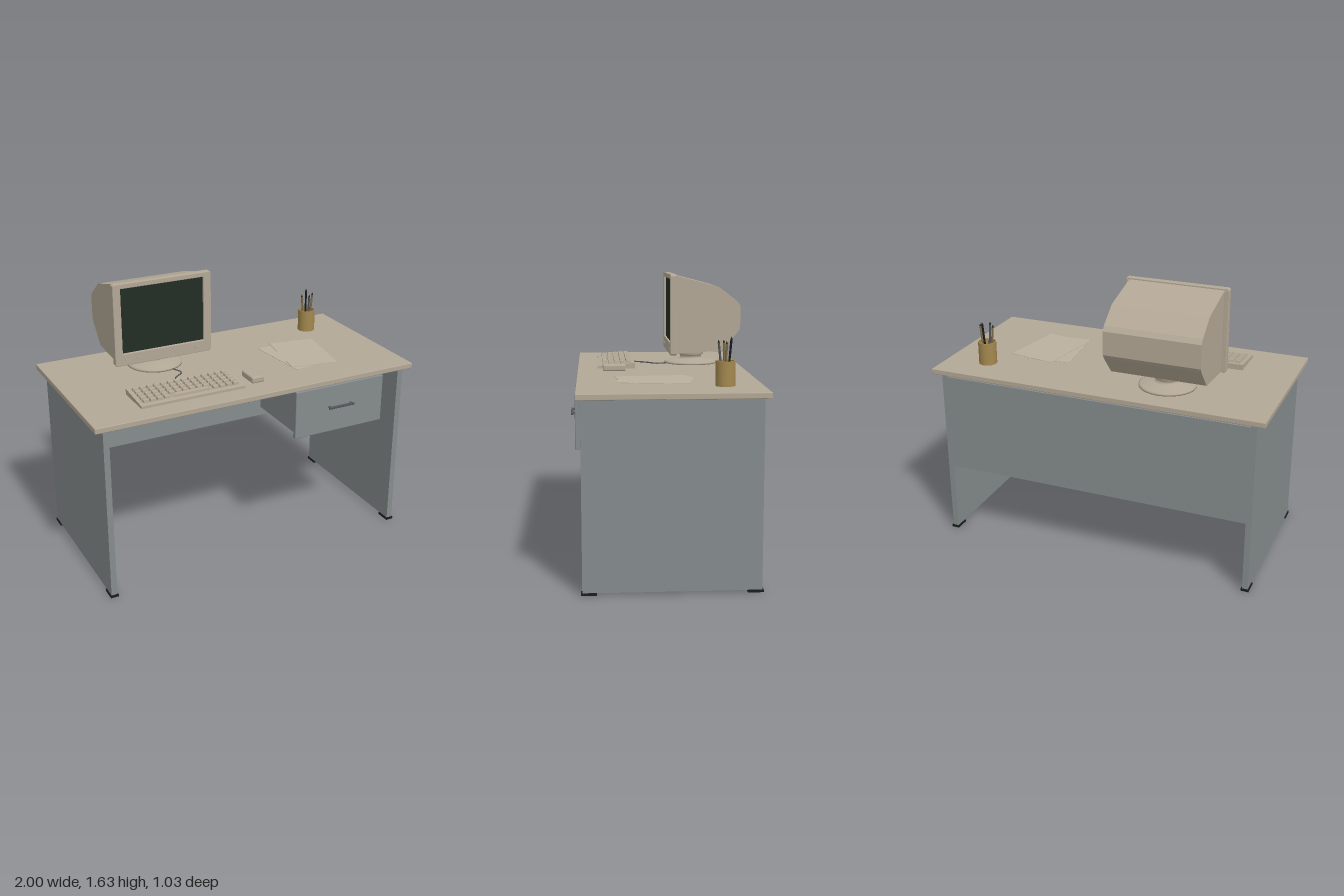
import * as THREE from 'three';
import { RoundedBoxGeometry } from 'three/addons/geometries/RoundedBoxGeometry.js';

const mat = (name, color, extra = {}) => Object.assign(new THREE.MeshStandardMaterial({ color, ...extra }), { name });

export function createModel() {
  const root = new THREE.Group();
  root.name = 'officeDesk';

  const beige = mat('beige', 0xb3a896);
  const steel = mat('steelGrey', 0x858b8d);
  const black = mat('black', 0x1c1c1c);
  const glass = mat('darkGreenGlass', 0x222e24);
  const ochre = mat('ochre', 0xa4884f, { side: THREE.DoubleSide });
  const wood = mat('pencilWood', 0x7d6a48);
  const darkGrey = mat('darkGrey', 0x55565a);
  const paper = mat('paper', 0xbab09f);

  const add = (name, geo, material, parent = root) => {
    const m = new THREE.Mesh(geo, material);
    m.name = name;
    parent.add(m);
    return m;
  };
  // Box given by its limits on each axis; r rounds the edges
  const box = (name, material, [x0, x1], [y0, y1], [z0, z1], r = 0, parent = root) => {
    const s = [x1 - x0, y1 - y0, z1 - z0];
    const geo = r ? new RoundedBoxGeometry(...s, 2, r) : new THREE.BoxGeometry(...s);
    const m = add(name, geo, material, parent);
    m.position.set((x0 + x1) / 2, (y0 + y1) / 2, (z0 + z1) / 2);
    return m;
  };
  // Side profile of [z, y] points pulled along x
  const profile = (name, material, points, x0, x1, parent = root) => {
    const shape = new THREE.Shape(points.map(([z, y]) => new THREE.Vector2(-z, y)));
    const geo = new THREE.ExtrudeGeometry(shape, { depth: x1 - x0, bevelEnabled: false });
    geo.rotateY(Math.PI / 2).translate(x0, 0, 0);
    return add(name, geo, material, parent);
  };
  const group = (name) => {
    const g = new THREE.Group();
    g.name = name;
    root.add(g);
    return g;
  };

  // Desk
  box('deskTop', beige, [-1, 1], [1.035, 1.067], [-0.515, 0.485], 0.004);
  for (const s of [-1, 1]) {
    const x = s * 0.933;
    box('sidePanel', steel, [x - 0.017, x + 0.017], [0.012, 1.035], [-0.485, 0.46]);
    for (const z of [-0.45, 0.425]) {
      box('foot', black, [x - 0.023, x + 0.023], [0, 0.013], [z - 0.042, z + 0.042]);
    }
  }
  box('modestyPanel', steel, [-0.916, 0.916], [0.435, 1.017], [-0.489, -0.47]);

  // Drawer with bar handle
  const drawer = group('drawer');
  box('drawerBox', steel, [0.215, 0.775], [0.765, 1.035], [0.05, 0.465], 0, drawer);
  box('drawerFront', steel, [0.2, 0.79], [0.742, 1.032], [0.463, 0.49], 0.005, drawer);
  box('handleBar', darkGrey, [0.41, 0.582], [0.893, 0.908], [0.503, 0.515], 0.004, drawer);
  for (const x of [0.425, 0.567]) {
    box('handlePost', darkGrey, [x - 0.006, x + 0.006], [0.895, 0.906], [0.488, 0.508], 0, drawer);
  }

  // Monitor: bezel ring, recessed screen, tapered housing
  const monitor = group('monitor');
  const rect = (P, x0, x1, y0, y1, r) => {
    const p = new P();
    p.moveTo(x0 + r, y0);
    for (const [cx, cy, a] of [[x1 - r, y0 + r, -0.5], [x1 - r, y1 - r, 0], [x0 + r, y1 - r, 0.5], [x0 + r, y0 + r, 1]]) {
      p.absarc(cx, cy, r, a * Math.PI, (a + 0.5) * Math.PI, false);
    }
    return p;
  };
  const ring = rect(THREE.Shape, -0.657, -0.06, 1.146, 1.625, 0.01);
  ring.holes.push(rect(THREE.Path, -0.618, -0.1, 1.211, 1.603, 0.004));
  const bezelGeo = new THREE.ExtrudeGeometry(ring, {
    depth: 0.03, bevelSize: 0.004, bevelThickness: 0.004, bevelSegments: 2, curveSegments: 4,
  });
  add('bezel', bezelGeo, beige, monitor).position.z = -0.108;
  box('screen', glass, [-0.623, -0.095], [1.206, 1.608], [-0.1, -0.086], 0, monitor);
  box('bezelBack', beige, [-0.647, -0.07], [1.155, 1.616], [-0.121, -0.1], 0, monitor);
  profile('housing', beige, [
    [-0.115, 1.15], [-0.115, 1.62], [-0.37, 1.553], [-0.48, 1.468], [-0.5, 1.44],
    [-0.5, 1.305], [-0.485, 1.28], [-0.385, 1.168],
  ].reverse(), -0.636, -0.082, monitor);
  box('powerButton', beige, [-0.16, -0.125], [1.172, 1.184], [-0.076, -0.07], 0, monitor);
  for (let i = 0; i < 3; i++) {
    const x = -0.6 + i * 0.035;
    box('controlKnob', beige, [x, x + 0.02], [1.174, 1.182], [-0.076, -0.071], 0, monitor);
  }
  const stand = new THREE.LatheGeometry([
    [0, 1.067], [0.165, 1.067], [0.165, 1.077], [0.155, 1.083], [0.08, 1.096],
    [0.066, 1.1], [0.066, 1.118], [0.08, 1.122], [0.08, 1.16], [0, 1.16],
  ].map(([r, y]) => new THREE.Vector2(r, y)), 32);
  stand.computeVertexNormals();
  add('swivelStand', stand, beige, monitor).position.set(-0.36, 0, -0.225);

  // Keyboard: wedge case and rows of keys on its slope
  const keyboard = group('keyboard');
  profile('keyboardCase', beige, [[0.365, 1.067], [0.14, 1.067], [0.14, 1.1], [0.365, 1.082]],
    -0.69, -0.06, keyboard);
  const keys = new THREE.Group();
  keys.name = 'keys';
  keys.position.set(-0.375, 1.091, 0.2525);
  keys.rotation.x = Math.atan2(0.018, 0.225);
  keyboard.add(keys);
  const key = (x, z, w) => {
    const cap = new THREE.CylinderGeometry(0.58, 0.7071, 1, 4, 1).rotateY(Math.PI / 4).toNonIndexed();
    cap.computeVertexNormals();
    const m = add('key', cap, beige, keys);
    m.scale.set(w, 0.016, 0.03);
    m.position.set(x, 0.006, z);
  };
  const pitch = 0.042;
  for (let row = 0; row < 5; row++) {
    const z = -0.075 + row * 0.036;
    for (let i = 0; i < 14; i++) {
      if (row === 4 && i > 3 && i < 10) continue;
      key((i - 6.5) * pitch, z, 0.036);
    }
    if (row === 4) key(0, z, pitch * 6 - 0.006);
  }

  // Cable from the stand to the keyboard
  const cable = new THREE.CatmullRomCurve3([
    [-0.33, 1.075, -0.09], [-0.305, 1.071, -0.06], [-0.288, 1.071, 0], [-0.355, 1.071, 0.065], [-0.37, 1.075, 0.145],
  ].map((p) => new THREE.Vector3(...p)));
  add('cable', new THREE.TubeGeometry(cable, 20, 0.004, 6), darkGrey);

  // Mouse
  box('mouse', beige, [0, 0.08], [1.067, 1.106], [0.2, 0.335], 0.01);

  // Two loose sheets
  for (const [x, y, z, turn] of [[0.455, 1.0685, 0.055, 0.1], [0.5, 1.0705, 0.05, -0.17]]) {
    const sheet = add('paperSheet', new THREE.BoxGeometry(0.285, 0.002, 0.405), paper);
    sheet.position.set(x, y, z);
    sheet.rotation.y = turn;
  }

  // Pencil cup and pencils
  const cup = group('pencilCup');
  cup.position.set(0.74, 1.067, -0.305);
  add('cup', new THREE.LatheGeometry([
    [0, 0.001], [0.053, 0.001], [0.053, 0.001], [0.053, 0.135], [0.053, 0.135],
    [0.047, 0.135], [0.047, 0.135], [0.047, 0.1], [0.047, 0.1], [0, 0.1],
  ].map(([r, y]) => new THREE.Vector2(r, y)), 24), ochre, cup);
  const up = new THREE.Vector3(0, 1, 0);
  for (const [foot, tip, material] of [
    [[-0.02, 0.02, 0.0], [-0.042, 0.242, 0.005], wood],
    [[0.0, 0.02, 0.015], [-0.006, 0.245, 0.038], darkGrey],
    [[0.02, 0.02, 0.0], [0.04, 0.242, 0.0], wood],
    [[0.0, 0.02, -0.01], [0.01, 0.262, -0.03], black],
  ]) {
    const a = new THREE.Vector3(...foot), b = new THREE.Vector3(...tip);
    const d = b.clone().sub(a);
    const pencil = new THREE.Group();
    pencil.name = 'pencil';
    pencil.position.copy(a);
    pencil.quaternion.setFromUnitVectors(up, d.clone().normalize());
    cup.add(pencil);
    const len = d.length();
    add('pencilShaft', new THREE.CylinderGeometry(0.006, 0.006, len - 0.016, 6), material, pencil).position.y = (len - 0.016) / 2;
    add('pencilTip', new THREE.ConeGeometry(0.006, 0.016, 6), black, pencil).position.y = len - 0.008;
  }

  return root;
}
